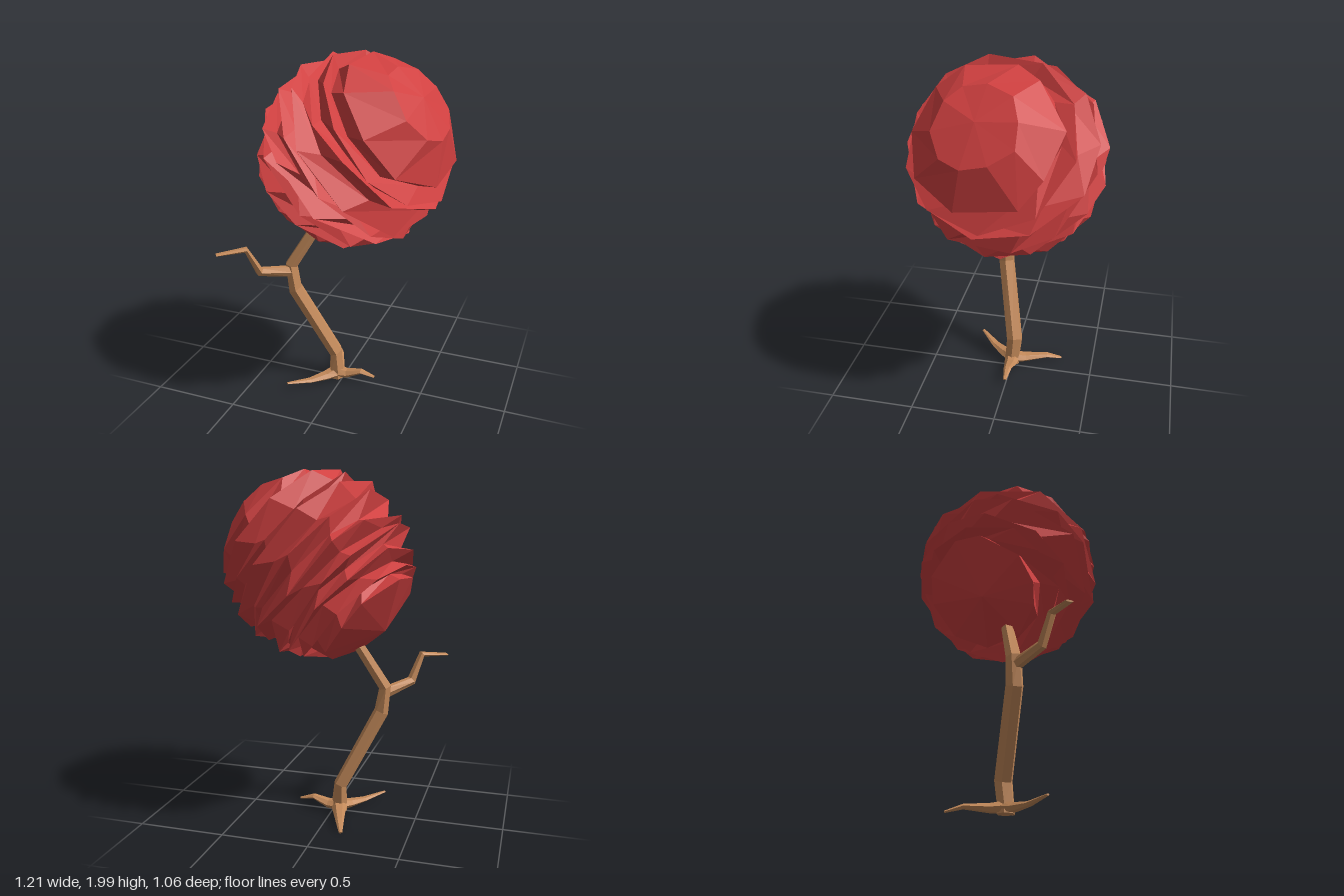
import * as THREE from 'three';

const V = (x, y, z) => new THREE.Vector3(x, y, z);

// Small seeded generator, -1..1
function seeded(seed) {
  return () => {
    seed = (seed * 16807) % 2147483647;
    return (seed / 2147483647) * 2 - 1;
  };
}

// Closed skin over a list of equal rings, with a fan to a centre point at each end
function loft(rings, startPole, endPole) {
  const n = rings[0].length;
  const points = rings.flat();
  const index = [];
  const start = points.push(startPole) - 1;
  const end = points.push(endPole) - 1;
  const last = (rings.length - 1) * n;
  for (let j = 0; j < n; j++) {
    const k = (j + 1) % n;
    for (let i = 0; i < rings.length - 1; i++) {
      const a = i * n + j, b = i * n + k;
      index.push(a, b, b + n, a, b + n, a + n);
    }
    index.push(start, k, j, end, last + j, last + k);
  }
  const geometry = new THREE.BufferGeometry().setFromPoints(points);
  geometry.setIndex(index);
  geometry.computeVertexNormals();
  return geometry;
}

// Six-sided limb: each stop is [x, y, z, half width, half thickness]
function limb(name, stops, material) {
  const centres = stops.map(s => V(s[0], s[1], s[2]));
  const side = V(0, 0, 0);
  const rings = stops.map((s, i) => {
    const before = centres[Math.max(i - 1, 0)];
    const after = centres[Math.min(i + 1, stops.length - 1)];
    const tangent = after.clone().sub(before).normalize();
    // Keep the frame steady along the limb
    if (i === 0) side.crossVectors(V(0, 1, 0), tangent);
    if (side.lengthSq() < 0.01) side.set(1, 0, 0);
    side.addScaledVector(tangent, -side.dot(tangent)).normalize();
    const other = tangent.clone().cross(side);
    return Array.from({ length: 6 }, (_, j) => {
      const t = (j / 6) * Math.PI * 2;
      return centres[i].clone()
        .addScaledVector(side, Math.cos(t) * s[3])
        .addScaledVector(other, Math.sin(t) * s[4]);
    });
  });
  const mesh = new THREE.Mesh(loft(rings, centres[0], centres[centres.length - 1]), material);
  mesh.name = name;
  return mesh;
}

// Ball of jagged ridged layers with a broad faceted cap and underside
function crownGeometry(radius) {
  const rand = seeded(4217);
  const sides = 10, layers = 10;
  const rad = THREE.MathUtils.degToRad;
  const at = (polar, t, r) => V(r * Math.sin(polar) * Math.cos(t), r * Math.cos(polar), -r * Math.sin(polar) * Math.sin(t));
  const ring = (polar, twist, jitter, tilt) => {
    const phase = rand() * Math.PI;
    return Array.from({ length: sides }, (_, j) => {
      const t = ((j + twist + rand() * 0.22) / sides) * Math.PI * 2;
      const p = polar + rad(tilt) * Math.sin(t + phase) + rad(jitter) * rand();
      return at(p, t, radius * (1 + 0.015 * rand()));
    });
  };

  const ridges = [];
  for (let i = 0; i < layers; i++) ridges.push(ring(rad(144 - i * 10.6), (i % 2) * 0.5, 2.5, 4));

  const rings = [];
  ridges.forEach((ridge, i) => {
    rings.push(ridge);
    if (i === layers - 1) return;
    // Groove above each ridge: tips lean up on one flank and down on the other
    rings.push(ridge.map((p, j) => {
      const w = 0.5 + 0.3 * Math.cos((j / sides) * Math.PI * 2);
      const groove = p.clone().lerp(ridges[i + 1][j], w);
      return groove.multiplyScalar(0.88 + 0.03 * rand());
    }));
  });
  rings.push(ring(rad(24), 0.5, 2, 2));
  return loft(rings, V(0, -radius * 0.98, 0), V(0, radius * 0.96, 0));
}

export function createModel() {
  const bark = new THREE.MeshStandardMaterial({ color: 0xc48a5a, flatShading: true });
  const leaf = new THREE.MeshStandardMaterial({ color: 0xd04040, flatShading: true });
  const tree = new THREE.Group();
  tree.name = 'tree';

  // Crooked trunk, running up into the crown
  tree.add(limb('trunk', [
    [-0.04, 0.01, 0, 0.048, 0.05],
    [-0.04, 0.06, 0, 0.046, 0.048],
    [-0.05, 0.18, -0.01, 0.04, 0.052],
    [-0.27, 0.62, 0.085, 0.043, 0.05],
    [-0.29, 0.77, 0.085, 0.038, 0.044],
    [-0.15, 1.01, 0.03, 0.034, 0.036],
    [-0.06, 1.16, 0.01, 0.028, 0.028],
  ], bark));

  // Bent side branch
  tree.add(limb('branch', [
    [-0.285, 0.732, 0.095, 0.03, 0.036],
    [-0.415, 0.775, 0.25, 0.03, 0.028],
    [-0.465, 0.928, 0.31, 0.027, 0.017],
    [-0.6, 0.915, 0.41, 0.024, 0.006],
  ], bark));

  // Three spreading roots
  const foot = [-0.04, 0.045, 0, 0.05, 0.035];
  const roots = [
    [foot, [0.03, 0.045, 0, 0.038, 0.026], [0.12, 0.077, 0, 0.024, 0.014], [0.205, 0.056, 0, 0.01, 0.006]],
    [foot, [-0.09, 0.035, 0.06, 0.04, 0.024], [-0.16, 0.033, 0.14, 0.026, 0.013], [-0.265, 0.051, 0.245, 0.01, 0.005]],
    [foot, [-0.06, 0.04, -0.08, 0.038, 0.026], [-0.1, 0.044, -0.21, 0.025, 0.014], [-0.13, 0.014, -0.3, 0.01, 0.006]],
  ];
  roots.forEach((stops, i) => tree.add(limb('root' + (i + 1), stops, bark)));

  // Crown, tipped over towards the left
  const crown = new THREE.Mesh(crownGeometry(0.542), leaf);
  crown.name = 'crown';
  crown.position.set(0.075, 1.475, 0);
  crown.quaternion.setFromUnitVectors(V(0, 1, 0), V(0.73, 0.63, 0.15).normalize());
  tree.add(crown);

  return tree;
}
